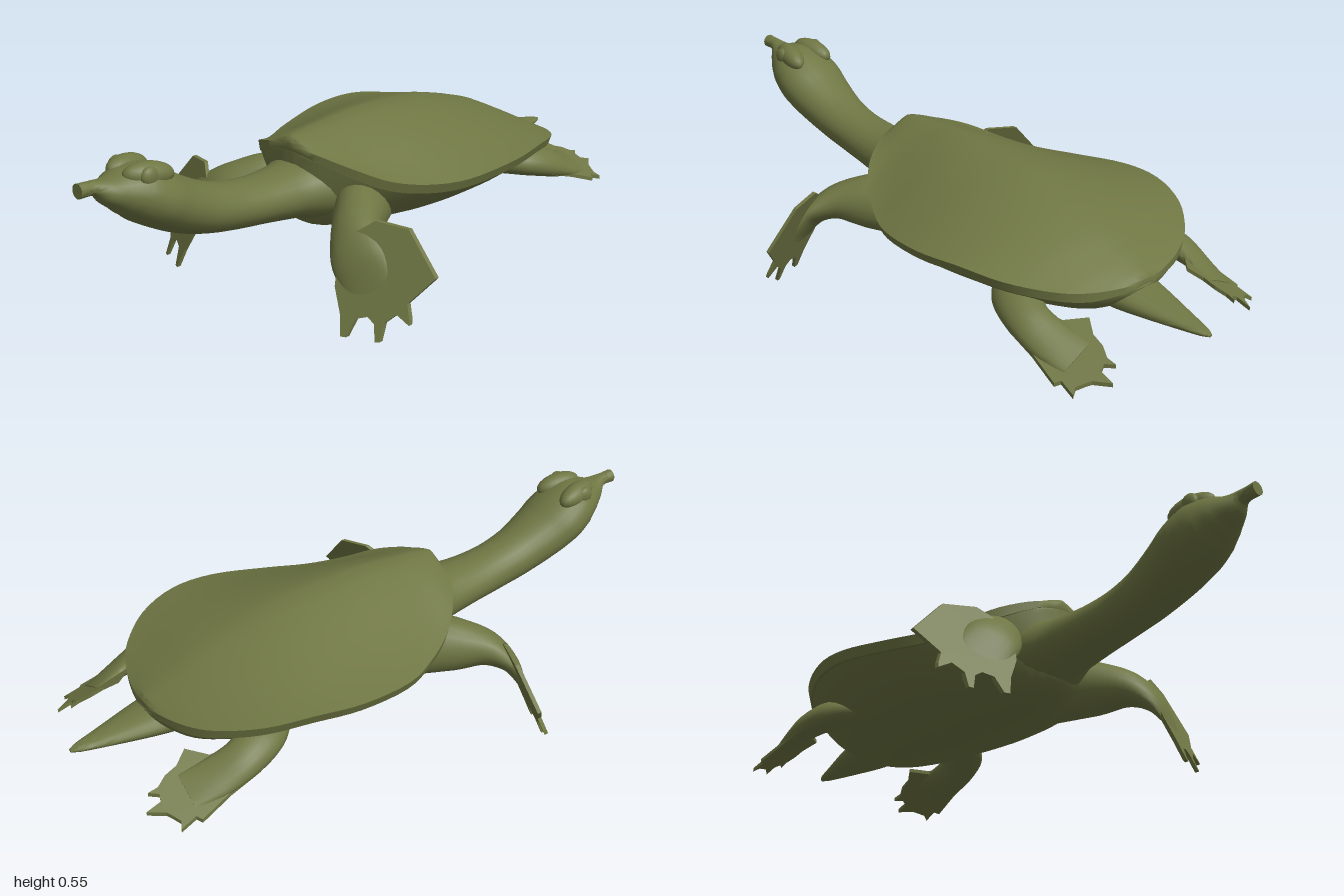
import * as THREE from 'three';
import { toCreasedNormals } from 'three/addons/utils/BufferGeometryUtils.js';

const V = (x, y, z) => new THREE.Vector3(x, y, z);
const olive = new THREE.MeshStandardMaterial({ color: 0x6f7643 });
olive.name = 'olive skin';

function part(name, geometry) {
  const mesh = new THREE.Mesh(geometry, olive);
  mesh.name = name;
  return mesh;
}

// Closed skin over rings that run counter-clockwise about their direction of travel
function skin(rings, crease = 0.9) {
  const n = rings[0].length, pos = [], idx = [];
  rings.forEach(r => r.forEach(p => pos.push(p.x, p.y, p.z)));
  for (let k = 0; k < rings.length - 1; k++) {
    for (let j = 0; j < n; j++) {
      const a = k * n + j, b = k * n + (j + 1) % n;
      idx.push(a, b, a + n, b, b + n, a + n);
    }
  }
  [0, rings.length - 1].forEach((k, end) => {
    const c = rings[k].reduce((s, p) => s.add(p), V(0, 0, 0)).divideScalar(n);
    const ci = pos.length / 3;
    pos.push(c.x, c.y, c.z);
    for (let j = 0; j < n; j++) {
      const a = k * n + j, b = k * n + (j + 1) % n;
      if (end) idx.push(ci, a, b); else idx.push(ci, b, a);
    }
  });
  const g = new THREE.BufferGeometry();
  g.setAttribute('position', new THREE.Float32BufferAttribute(pos, 3));
  g.setIndex(idx);
  return toCreasedNormals(g, crease);
}

// Smooth limb with elliptical sections: [x, y, z, half width, half thickness]
function limb(stations, up, steps = 24, sides = 20) {
  const path = new THREE.CatmullRomCurve3(stations.map(s => V(s[0], s[1], s[2])));
  const size = new THREE.CatmullRomCurve3(stations.map(s => V(s[3], s[4], 0)));
  const rings = [];
  for (let i = 0; i <= steps; i++) {
    const c = path.getPoint(i / steps), r = size.getPoint(i / steps);
    const t = path.getTangent(i / steps);
    const side = up.clone().cross(t).normalize();
    const top = t.clone().cross(side).normalize();
    rings.push(Array.from({ length: sides }, (_, j) => {
      const a = j / sides * Math.PI * 2;
      return c.clone().addScaledVector(side, Math.cos(a) * r.x).addScaledVector(top, Math.sin(a) * r.y);
    }));
  }
  return skin(rings);
}

// Thin webbed outline, each vertex (x, y, depth) moved by a rule
function web(points, depth, rule) {
  const shape = new THREE.Shape(points.map(p => new THREE.Vector2(p[0], p[1])));
  const g = new THREE.ExtrudeGeometry(shape, { depth, bevelEnabled: false });
  const p = g.attributes.position;
  for (let i = 0; i < p.count; i++) p.setXYZ(i, ...rule(p.getX(i), p.getY(i), p.getZ(i) - depth / 2));
  g.computeVertexNormals();
  return g;
}

// Shell stations, front to back: [z, half width, rim height, spine height, belly height]
const shellRows = [
  [0.25, 0.01, 0.455, 0.465, 0.34], [0.235, 0.1, 0.44, 0.478, 0.24],
  [0.18, 0.2, 0.405, 0.485, 0.188], [0.1, 0.275, 0.365, 0.492, 0.175],
  [0, 0.335, 0.345, 0.5, 0.174], [-0.12, 0.39, 0.345, 0.5, 0.178],
  [-0.3, 0.422, 0.366, 0.487, 0.186], [-0.45, 0.405, 0.377, 0.457, 0.194],
  [-0.58, 0.355, 0.362, 0.418, 0.203], [-0.68, 0.265, 0.34, 0.373, 0.217],
  [-0.73, 0.18, 0.326, 0.348, 0.245], [-0.762, 0.08, 0.318, 0.33, 0.275], [-0.77, 0.01, 0.315, 0.322, 0.295],
];

function shellRings(section) {
  const rim = new THREE.CatmullRomCurve3(shellRows.map(r => V(r[1], r[2], r[0])), false, 'catmullrom', 0.5);
  const mid = new THREE.CatmullRomCurve3(shellRows.map(r => V(r[3], r[4], 0)), false, 'catmullrom', 0.5);
  return Array.from({ length: 49 }, (_, i) => {
    const a = rim.getPoint(i / 48), b = mid.getPoint(i / 48);
    return section(Math.max(a.x, 0.005), a.y, b.x, b.y).map(p => V(p[0], p[1], a.z));
  });
}

const across = Array.from({ length: 25 }, (_, i) => -Math.cos(i / 24 * Math.PI));

function carapace() {
  return skin(shellRings((w, rim, spine) => {
    const thick = Math.min(0.03, 0.012 + w * 0.1);
    const top = across.map(u => {
      const f = 0.75 * (1 - Math.abs(u) ** 1.2) + 0.25 * (1 + Math.cos(Math.PI * u)) / 2;
      return [u * w, rim + (spine - rim) * f];
    });
    return [...top, [w * 0.97, rim - thick], [-w * 0.97, rim - thick]];
  }), 0.7);
}

function plastron() {
  return skin(shellRings((w, rim, spine, belly) => {
    const edge = rim - 0.022, v = w * 0.965;
    const under = across.map(u => [-u * v, edge - (edge - belly) * (1 - Math.abs(u) ** 2.5)]);
    return [[-v * 0.9, edge + 0.004], [v * 0.9, edge + 0.004], ...under];
  }), 0.8);
}

// Head and neck: [z, top, bottom, half width]
const neckRows = [
  [0.08, 0.42, 0.2, 0.2], [0.18, 0.415, 0.21, 0.15], [0.27, 0.395, 0.232, 0.108],
  [0.4, 0.39, 0.25, 0.092], [0.5, 0.402, 0.262, 0.086], [0.6, 0.43, 0.282, 0.091],
  [0.7, 0.478, 0.318, 0.106], [0.76, 0.515, 0.35, 0.114], [0.82, 0.546, 0.385, 0.104],
  [0.87, 0.542, 0.418, 0.08], [0.91, 0.53, 0.45, 0.053], [0.945, 0.528, 0.485, 0.026],
  [0.97, 0.53, 0.49, 0.02], [1, 0.532, 0.49, 0.021],
];

function neckGeometry() {
  const stations = neckRows.map(([z, t, b, w]) => [0, (t + b) / 2, z, w, (t - b) / 2]);
  return limb(stations, V(0, 1, 0), 52, 24);
}

// One side of the limbs and eyes, built on the model's left
function sideParts(name) {
  const g = new THREE.Group();
  g.name = name;

  // Broad shoulder narrowing into a flat paddle
  const handNormal = V(0.4, 0.42, 1).normalize();
  g.add(part('frontLeg', limb([
    [0.14, 0.275, 0.06, 0.075, 0.1], [0.215, 0.27, 0.17, 0.074, 0.085], [0.275, 0.255, 0.255, 0.074, 0.056],
    [0.33, 0.213, 0.303, 0.085, 0.03], [0.37, 0.165, 0.317, 0.08, 0.014], [0.4, 0.115, 0.326, 0.06, 0.004],
  ], handNormal)));
  g.add(part('frontWeb', web([
    [0.3, 0.13], [0.335, 0.06], [0.352, 0.003], [0.368, 0.003], [0.38, 0.055], [0.41, 0.065], [0.432, 0.05],
    [0.448, 0.003], [0.46, 0.005], [0.458, 0.055], [0.485, 0.083], [0.525, 0.06], [0.522, 0.075], [0.505, 0.115],
    [0.56, 0.19], [0.455, 0.305], [0.36, 0.315], [0.28, 0.25],
  ], 0.014, (x, y, d) => [x, y, 0.534 - 0.4 * x - 0.42 * y + d])));

  g.add(part('backLeg', limb([
    [0.2, 0.275, -0.47, 0.06, 0.04], [0.27, 0.272, -0.545, 0.07, 0.046], [0.305, 0.252, -0.62, 0.062, 0.04],
    [0.306, 0.225, -0.71, 0.062, 0.024], [0.295, 0.206, -0.8, 0.056, 0.005],
  ], V(0.5, 1, -0.28))));
  g.add(part('backWeb', web([
    [0.355, 0.6], [0.362, 0.7], [0.378, 0.8], [0.362, 0.81], [0.368, 0.86], [0.35, 0.85], [0.328, 0.862],
    [0.312, 0.872], [0.282, 0.917], [0.28, 0.872], [0.262, 0.865], [0.243, 0.89], [0.245, 0.86], [0.23, 0.83],
    [0.225, 0.79], [0.2, 0.75], [0.25, 0.7], [0.27, 0.62],
  ], 0.012, (x, y, d) => [x, 0.21 - 0.28 * (y - 0.78) - 0.5 * (x - 0.29) + d, -y])));

  // Eyeball set in the side of the head under a long low brow
  const eye = part('eye', new THREE.SphereGeometry(0.028, 20, 14));
  eye.position.set(0.069, 0.521, 0.82);
  eye.scale.set(0.6, 1, 1);
  const brow = part('brow', new THREE.SphereGeometry(0.036, 20, 14));
  brow.position.set(0.045, 0.519, 0.805);
  brow.scale.set(1, 1, 2.1);
  brow.rotation.set(-0.15, -0.2, 0);
  g.add(eye, brow);
  return g;
}

export function createModel() {
  const model = new THREE.Group();
  model.name = 'softshellTurtle';
  model.add(part('carapace', carapace()), part('plastron', plastron()), part('headAndNeck', neckGeometry()));

  model.add(part('tail', limb([
    [0, 0.275, -0.58, 0.11, 0.06], [0, 0.26, -0.72, 0.088, 0.046], [0, 0.255, -0.8, 0.07, 0.034],
    [0, 0.25, -0.9, 0.042, 0.02], [0, 0.247, -0.98, 0.018, 0.009], [0, 0.246, -1, 0.006, 0.004],
  ], V(0, 1, 0))));

  const left = sideParts('leftSide'), right = sideParts('rightSide');
  right.scale.x = -1;
  model.add(left, right);
  return model;
}
